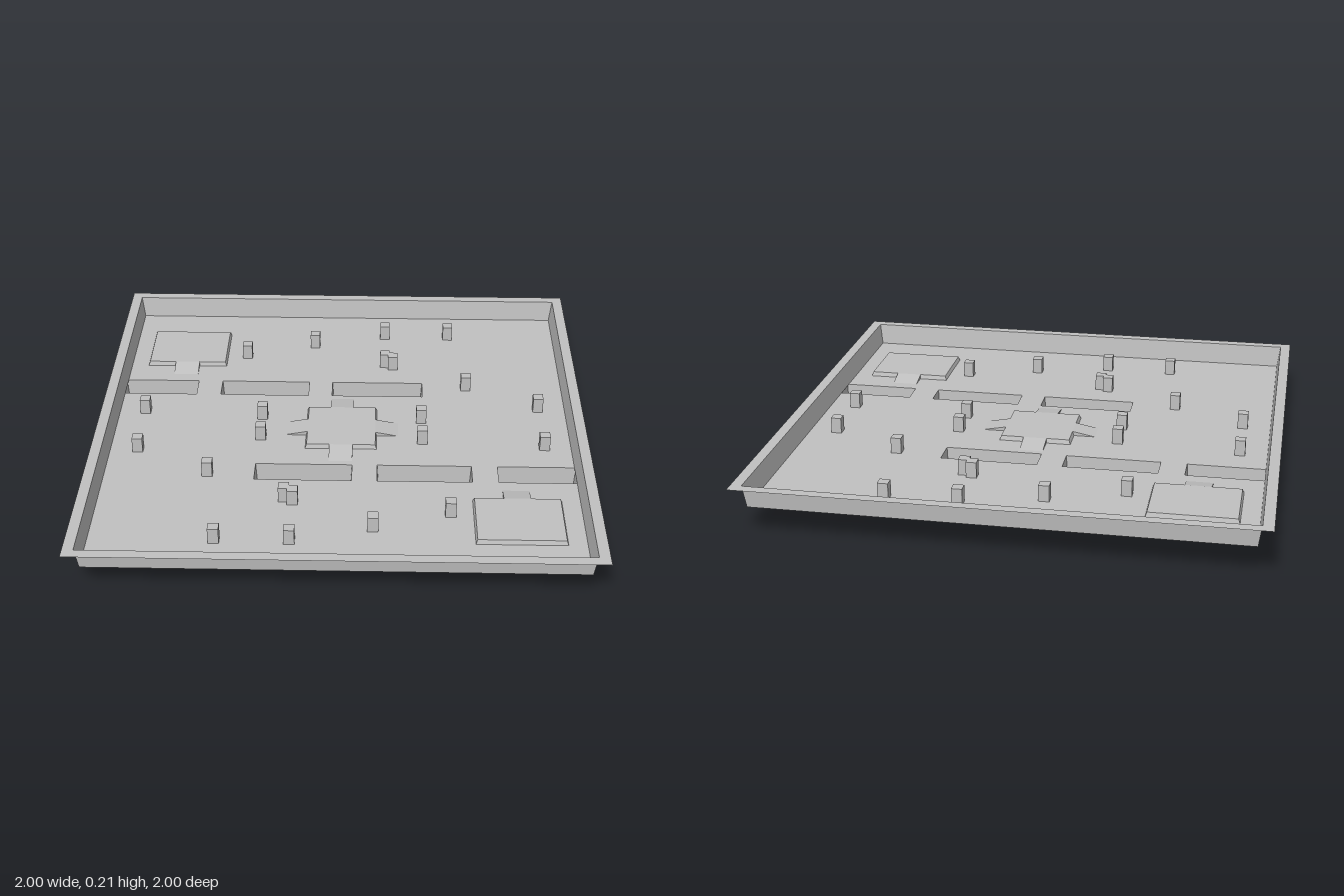
import * as THREE from 'three';

const FLOOR = 0.124, RIM = 0.214, STEP = 0.018, INSET = 0.006;
const stone = new THREE.MeshStandardMaterial({ color: 0xc0c0c0, side: THREE.DoubleSide });
stone.name = 'light grey stone';

function addMesh(parent, name, geometry) {
  const mesh = new THREE.Mesh(geometry, stone);
  mesh.name = name;
  parent.add(mesh);
  return mesh;
}

// Loop of [x, y, z] points around a rectangle
const rect = (x0, x1, z0, z1, y) => [[x0, y, z0], [x0, y, z1], [x1, y, z1], [x1, y, z0]];
const square = (h, y) => rect(-h, h, -h, h, y);
const turned = (loop) => loop.map(([x, y, z]) => [-x, y, -z]);

// Flat-shaded band joining two loops of equal length
function band(lower, upper, closed = true) {
  const pos = [], n = lower.length;
  for (let i = 0; i < (closed ? n : n - 1); i++) {
    const j = (i + 1) % n;
    pos.push(...lower[i], ...lower[j], ...upper[j], ...lower[i], ...upper[j], ...upper[i]);
  }
  const g = new THREE.BufferGeometry();
  g.setAttribute('position', new THREE.Float32BufferAttribute(pos, 3));
  g.computeVertexNormals();
  return g;
}

// Horizontal sheet with optional holes, facing up
function sheet(loop, y, holes = []) {
  const pts = (l) => l.map(([x, , z]) => new THREE.Vector2(x, -z));
  const shape = new THREE.Shape(pts(loop));
  for (const h of holes) shape.holes.push(new THREE.Path(pts(h)));
  return new THREE.ShapeGeometry(shape).rotateX(-Math.PI / 2).translate(0, y, 0);
}

// Raised platform with ramps on the chosen sides (0 +x, 1 +z, 2 -x, 3 -z); returns its outline
function platform(parent, name, cx, cz, hx, hz, sides, w, len) {
  const group = new THREE.Group();
  group.name = name;
  parent.add(group);
  const low = [], high = [], top = FLOOR + STEP;
  for (let k = 0; k < 4; k++) {
    const dx = [1, 0, -1, 0][k], dz = [0, 1, 0, -1][k];
    const a = k % 2 ? hz : hx, b = k % 2 ? hx : hz;
    const at = (out, along, y) => [cx + dx * out - dz * along, y, cz + dz * out + dx * along];
    low.push(at(a, -b, FLOOR));
    high.push(at(a - INSET, -b + INSET, top));
    if (!sides.includes(k)) continue;
    low.push(at(a, -w, FLOOR), at(a + len, -w, FLOOR), at(a + len, w, FLOOR), at(a, w, FLOOR));
    const ramp = [at(a - INSET, -w, top), at(a + len, -w, FLOOR), at(a + len, w, FLOOR), at(a - INSET, w, top)];
    high.push(...ramp);
    addMesh(group, 'ramp', band([ramp[2], ramp[1]], [ramp[3], ramp[0]], false));
  }
  addMesh(group, 'platformSides', band(low, high));
  addMesh(group, 'platformTop', sheet(rect(cx - hx + INSET, cx + hx - INSET, cz - hz + INSET, cz + hz - INSET, 0), top));
  return low;
}

export function createModel() {
  const model = new THREE.Group();
  model.name = 'arena';
  const holes = [];

  // Central platform with four ramps
  holes.push(platform(model, 'centrePlatform', 0, 0, 0.147, 0.147, [0, 1, 2, 3], 0.048, 0.088));

  // Each half of the arena, the second turned half round
  const trenches = [[-0.342, 0.048], [0.15, 0.53], [0.635, 0.951]];
  const pillars = [
    [-0.18, 0.77], [-0.465, 0.77], [0.135, 0.685], [0.435, 0.585], [-0.18, 0.52], [-0.215, 0.5],
    [-0.53, 0.335], [-0.83, 0.17], [0.335, 0.085], [0.835, 0.12], [-0.333, 0.07],
  ];
  for (const turn of [0, 1]) {
    const half = new THREE.Group();
    half.name = turn ? 'backHalf' : 'frontHalf';
    half.rotation.y = turn * Math.PI;
    model.add(half);
    const addHole = (loop) => holes.push(turn ? turned(loop) : loop);

    addHole(platform(half, 'basePlatform', 0.698, 0.634, 0.174, 0.139, [3], 0.053, 0.07));

    // Sunken trenches with tapering sides
    for (const [x0, x1] of trenches) {
      const bottom = rect(x0 + 0.008, x1 - 0.008, 0.269, 0.361, 0);
      addMesh(half, 'trenchSides', band(bottom, rect(x0, x1, 0.261, 0.37, FLOOR)));
      addMesh(half, 'trenchBottom', sheet(bottom, 0));
      addHole(rect(x0, Math.min(x1, 0.944), 0.261, 0.37, FLOOR));
    }
    // End of the outer trench carried up the wall
    addMesh(half, 'trenchEnd', band(
      [[0.951, FLOOR, 0.37], [0.951, FLOOR, 0.261]],
      [[0.957, RIM, 0.375], [0.957, RIM, 0.257]], false));

    // Pillars
    for (const [x, z] of pillars) {
      addMesh(half, 'pillar', new THREE.BoxGeometry(0.042, 0.065, 0.042)).position.set(x, FLOOR + 0.0325, z);
    }
  }

  // Floor, sloping outer wall and flat rim
  addMesh(model, 'floor', sheet(square(0.945, 0), FLOOR, holes));
  addMesh(model, 'outerWall', band(square(0.945, FLOOR), square(0.957, RIM)));
  addMesh(model, 'rim', sheet(square(1, 0), RIM, [square(0.957, 0)]));
  return model;
}
